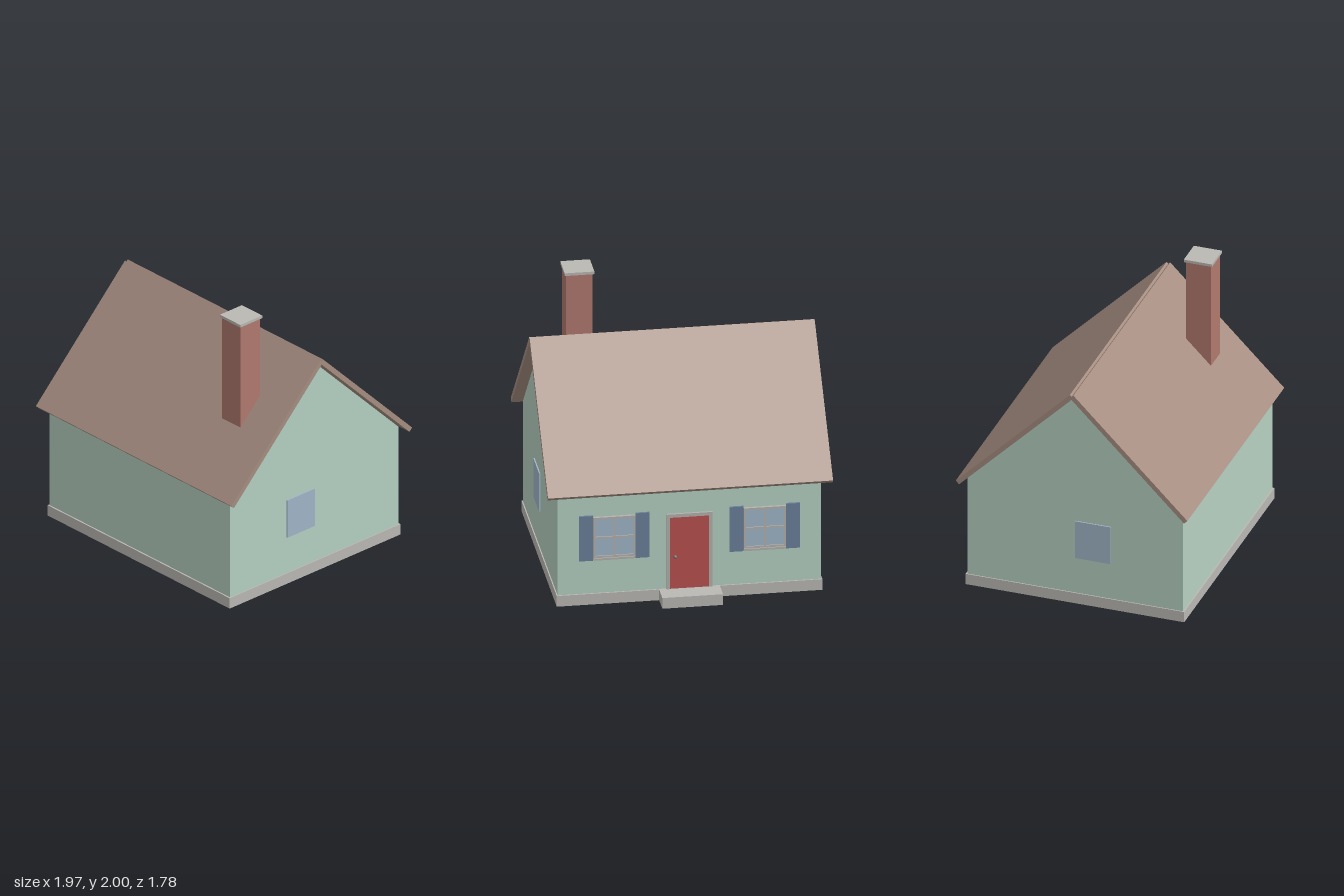
import * as THREE from 'three';

const mat = (color) => new THREE.MeshStandardMaterial({ color });

export function createModel() {
  const house = new THREE.Group();
  house.name = 'house';

  const stone = mat(0xbab8b3), siding = mat(0xb5d0c1), shingle = mat(0xa58d80);
  const brick = mat(0xb0796e), glass = mat(0xa0b5c8), shutterBlue = mat(0x6a809a);
  const doorRed = mat(0xb8504f), trim = mat(0xb4b2ae), metal = mat(0x777777);

  // Box given by its [min, max] range on each axis
  const box = (name, material, [x0, x1], [y0, y1], [z0, z1], parent = house) => {
    const mesh = new THREE.Mesh(new THREE.BoxGeometry(x1 - x0, y1 - y0, z1 - z0), material);
    mesh.position.set((x0 + x1) / 2, (y0 + y1) / 2, (z0 + z1) / 2);
    mesh.name = name;
    parent.add(mesh);
    return mesh;
  };

  const midZ = 0.045;      // ridge line
  const wallZ = -0.737;    // wall with the door
  const halfDepth = midZ - wallZ;

  // Base and doorstep
  box('foundation', stone, [-0.918, 0.918], [0, 0.08], [-0.748, 0.838]);
  box('doorstep', stone, [-0.21, 0.21], [0, 0.08], [-0.89, -0.748]);

  // Gabled walls, extruded along x
  const gable = new THREE.Shape([
    new THREE.Vector2(midZ - halfDepth, 0.08),
    new THREE.Vector2(midZ + halfDepth, 0.08),
    new THREE.Vector2(midZ + halfDepth, 0.835),
    new THREE.Vector2(midZ, 1.617),
    new THREE.Vector2(midZ - halfDepth, 0.835),
  ]);
  const wallGeo = new THREE.ExtrudeGeometry(gable, { depth: 1.82, bevelEnabled: false });
  wallGeo.translate(0, 0, -0.91).rotateY(-Math.PI / 2);
  const walls = new THREE.Mesh(wallGeo, siding);
  walls.name = 'walls';
  house.add(walls);

  // Two roof slabs meeting at the ridge at 45 degrees
  for (const s of [1, -1]) {
    const slab = new THREE.Mesh(new THREE.BoxGeometry(1.97, 0.035, 1.17), shingle);
    slab.position.set(0, 1.239, midZ + s * 0.414);
    slab.rotation.x = s * Math.PI / 4;
    slab.name = s > 0 ? 'frontRoof' : 'backRoof';
    house.add(slab);
  }

  // Chimney with cap
  box('chimney', brick, [0.503, 0.686], [1.05, 1.98], [0.343, 0.525]);
  box('chimneyCap', stone, [0.492, 0.697], [1.98, 2.0], [0.332, 0.536]);

  // Plain windows in the gable ends
  box('leftSideWindow', glass, [0.905, 0.919], [0.355, 0.643], [0.047, 0.303]);
  box('rightSideWindow', glass, [-0.919, -0.905], [0.355, 0.643], [0.047, 0.303]);

  // Door with frame and knob
  const door = new THREE.Group();
  door.name = 'door';
  house.add(door);
  box('doorPanel', doorRed, [-0.135, 0.135], [0.08, 0.615], [wallZ - 0.01, wallZ], door);
  for (const s of [-1, 1]) {
    const a = s * 0.135, b = s * 0.158;
    box('doorJamb', trim, [Math.min(a, b), Math.max(a, b)], [0.08, 0.615], [wallZ - 0.016, wallZ], door);
  }
  box('doorLintel', trim, [-0.158, 0.158], [0.615, 0.64], [wallZ - 0.016, wallZ], door);
  const knob = new THREE.Mesh(new THREE.SphereGeometry(0.012, 16, 12), metal);
  knob.position.set(0.1, 0.32, wallZ - 0.016);
  knob.name = 'doorKnob';
  door.add(knob);

  // Shuttered windows either side of the door
  for (const cx of [-0.52, 0.52]) {
    const win = new THREE.Group();
    win.name = cx > 0 ? 'leftWindow' : 'rightWindow';
    win.position.set(cx, 0, wallZ);
    house.add(win);
    box('windowGlass', glass, [-0.14, 0.14], [0.355, 0.645], [-0.012, 0], win);
    // Outer frame and cross bars
    for (const x of [-0.138, 0, 0.138])
      box('windowUpright', trim, [x - 0.007, x + 0.007], [0.35, 0.652], [-0.02, 0], win);
    for (const y of [0.357, 0.5, 0.645])
      box('windowBar', trim, [-0.145, 0.145], [y - 0.007, y + 0.007], [-0.02, 0], win);
    box('windowSill', trim, [-0.145, 0.145], [0.335, 0.35], [-0.028, 0], win);
    for (const x of [-0.195, 0.195])
      box('shutter', shutterBlue, [x - 0.048, x + 0.048], [0.33, 0.665], [-0.015, 0], win);
  }

  return house;
}
